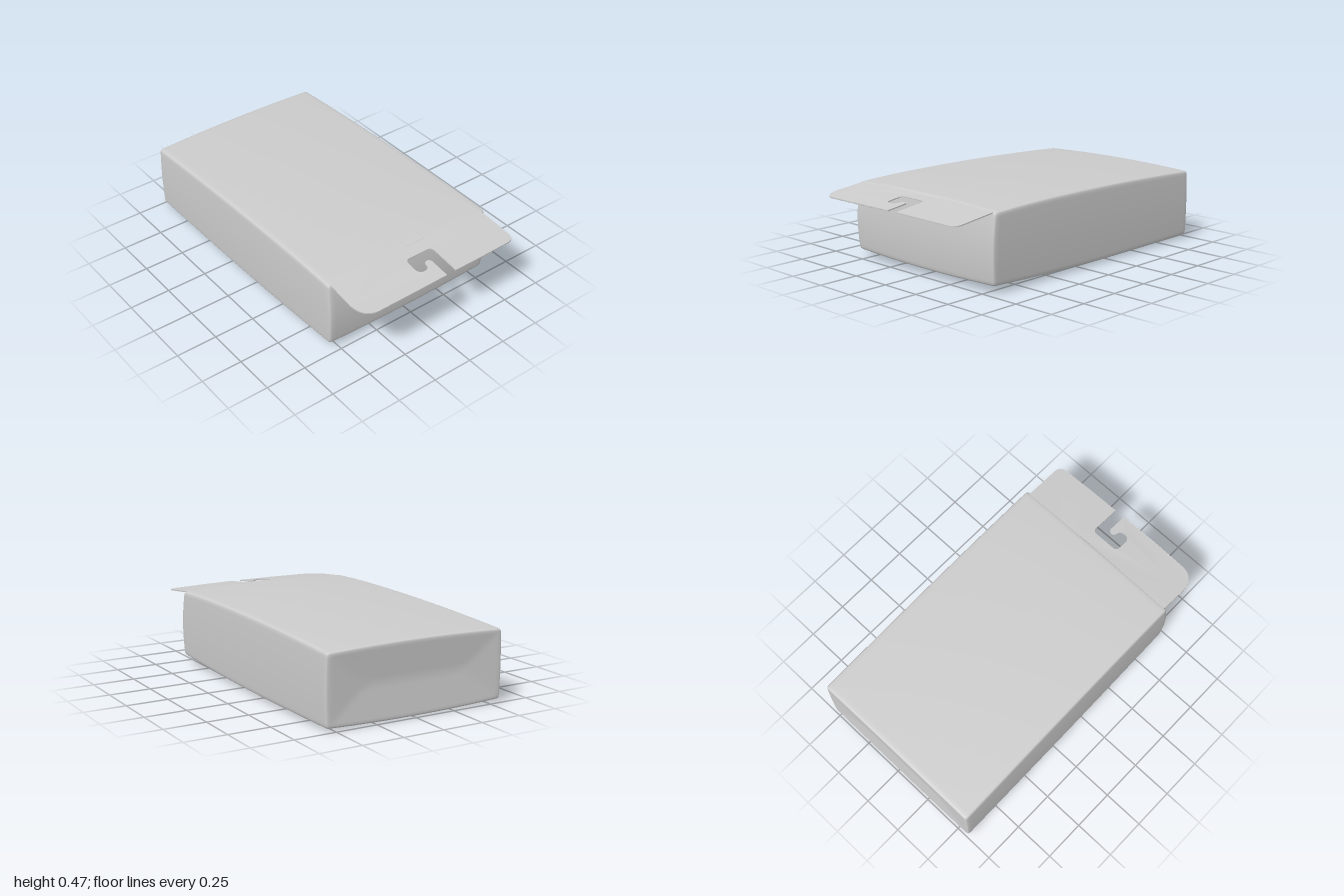
import * as THREE from 'three';
import { mergeVertices, toCreasedNormals } from 'three/addons/utils/BufferGeometryUtils.js';

const material = new THREE.MeshStandardMaterial({ color: 0xcccccc });
const mix = THREE.MathUtils.lerp;

// Height of the gently crowned top panel, drooping to the back
function topHeight(x, z) {
  const d = z - 0.3;
  return 0.477 - 0.045 * x * x - (d < 0 ? 0.024 : 0.06) * d * d;
}

// Height of the bulging bottom panel, lifting to the front
function bottomHeight(x, z) {
  const d = z + 0.35;
  return 0.002 + 0.045 * x * x + (d > 0 ? 0.028 : 0.01) * d * d;
}

// Soft-edged carton: a dense box, rounded and then pillowed
function createCarton() {
  const geo = new THREE.BoxGeometry(2, 2, 2, 28, 20, 36);
  geo.deleteAttribute('uv');
  geo.deleteAttribute('normal');
  const carton = mergeVertices(geo);
  const pos = carton.attributes.position;
  const half = new THREE.Vector3(0.562, 0.23, 0.853);
  const radius = 0.018;
  const inner = half.clone().subScalar(radius);
  const p = new THREE.Vector3(), core = new THREE.Vector3();
  // Crowd the vertices towards the edges
  const crowd = s => Math.sign(s) * (1 - (1 - Math.abs(s)) ** 1.7);
  for (let i = 0; i < pos.count; i++) {
    p.fromBufferAttribute(pos, i);
    p.set(crowd(p.x), crowd(p.y), crowd(p.z)).multiply(half);
    core.copy(p).clamp(inner.clone().negate(), inner);
    p.sub(core).setLength(Math.min(radius, p.length())).add(core);

    const u = p.x / half.x, v = p.y / half.y, w = p.z / half.z;
    // Front panel bows out, back panel is slightly dented between its folds
    const front = Math.max(0, w) ** 4, back = Math.max(0, -w) ** 12;
    const dent = Math.max(0, Math.min(1 - Math.abs(v), (1 - Math.abs(u)) * 2.2));
    const z = p.z - 0.137 + front * (0.018 * (1 - v * v) - 0.006 * v) + back * 0.02 * dent;
    // Slight skew in plan, with a little swell in the side panels
    const x = p.x + mix(-0.011, 0.003, (w + 1) / 2) + 0.006 * u * (1 - v * v);
    const y = mix(bottomHeight(x, z), topHeight(x, z), (v + 1) / 2);
    pos.setXYZ(i, x, y, z);
  }
  carton.computeVertexNormals();
  const mesh = new THREE.Mesh(carton, material);
  mesh.name = 'carton';
  return mesh;
}

// Hanging flap with a hooked slot, continuing the top panel forwards
function createHangFlap() {
  const s = new THREE.Shape();
  const to = (x, z) => s.lineTo(x, -z);
  const bend = (cx, cz, x, z) => s.quadraticCurveTo(cx, -cz, x, -z);
  s.moveTo(-0.54, -0.68);
  to(-0.545, 0.88);
  bend(-0.535, 0.99, -0.44, 0.995);
  to(-0.2, 0.997);
  to(0.03, 0.995);
  // Tongue and hooked slot
  to(0.03, 0.875);
  bend(0.028, 0.855, 0.005, 0.853);
  bend(-0.016, 0.855, -0.018, 0.88);
  bend(-0.022, 0.907, -0.055, 0.907);
  bend(-0.09, 0.905, -0.092, 0.87);
  to(-0.092, 0.815);
  bend(-0.09, 0.79, -0.065, 0.788);
  to(0.07, 0.788);
  bend(0.095, 0.79, 0.096, 0.815);
  to(0.096, 0.993);
  to(0.3, 0.991);
  to(0.5, 0.985);
  bend(0.54, 0.982, 0.544, 0.94);
  to(0.54, 0.68);
  for (const x of [0.4, 0.2, 0, -0.2, -0.4]) to(x, 0.68);

  const geo = new THREE.ExtrudeGeometry(s, { depth: 0.007, bevelEnabled: false, curveSegments: 8 });
  geo.rotateX(-Math.PI / 2);
  // Slope the flap downwards from the top panel
  const pos = geo.attributes.position;
  for (let i = 0; i < pos.count; i++) {
    const x = pos.getX(i), z = pos.getZ(i);
    const t = (z - 0.68) / 0.32;
    const y = topHeight(x, 0.68) - 0.009 - t * (0.041 - 0.02 * x * x);
    pos.setY(i, y + pos.getY(i));
  }
  const mesh = new THREE.Mesh(toCreasedNormals(geo, 0.6), material);
  mesh.name = 'hangFlap';
  return mesh;
}

export function createModel() {
  const group = new THREE.Group();
  group.name = 'hangBox';
  group.add(createCarton(), createHangFlap());
  return group;
}
